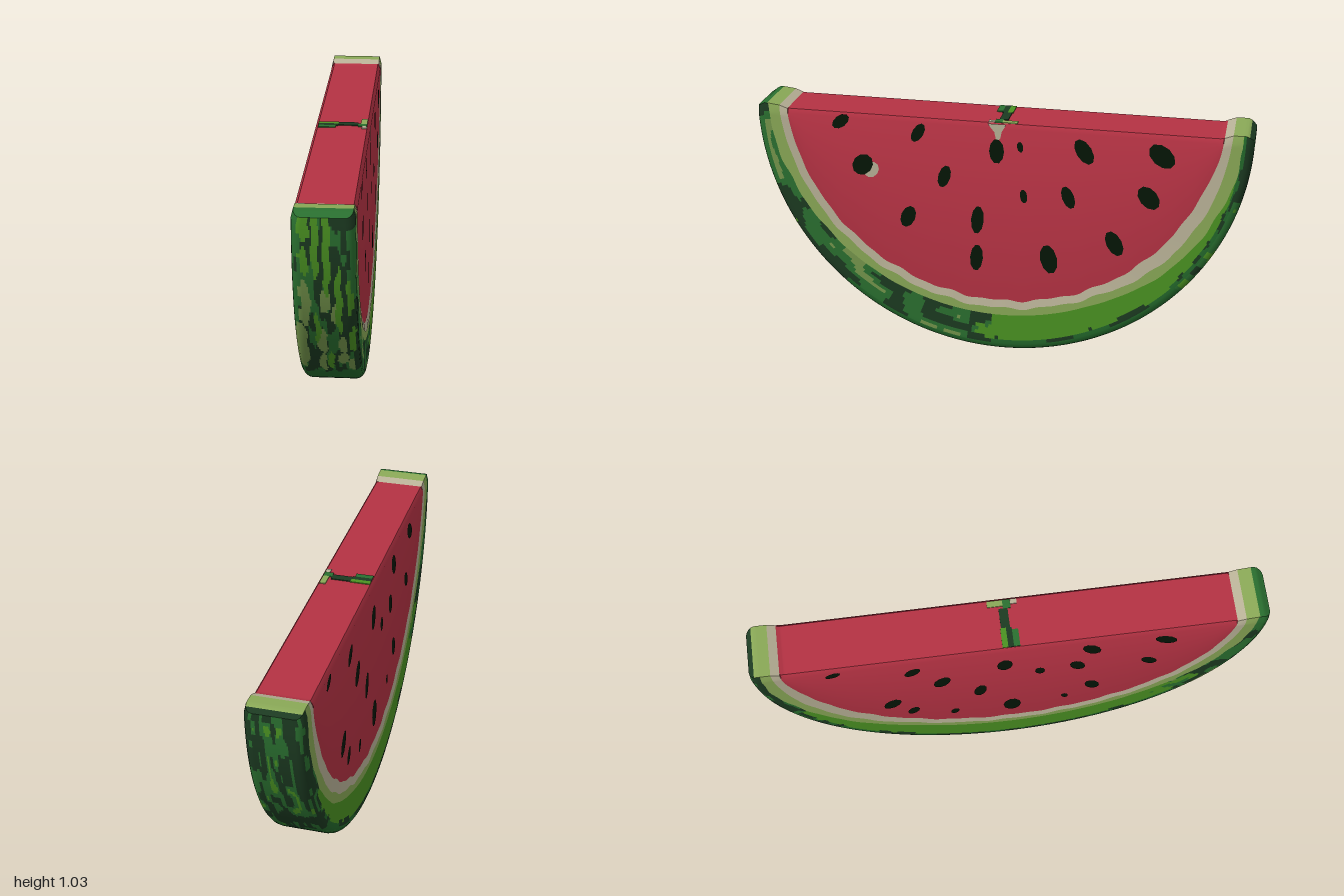
import * as THREE from 'three';
import { toCreasedNormals } from 'three/addons/utils/BufferGeometryUtils.js';

const material = (name, color) => {
  const m = new THREE.MeshStandardMaterial({ color });
  m.name = name;
  return m;
};
const red = material('flesh red', 0xb43243);
const cream = material('cream', 0xb9b297);
const pale = material('pale green', 0x8aa957);
const bright = material('bright green', 0x4b9322);
const mid = material('mid green', 0x2a7030);
const dark = material('dark green', 0x1c3a21);
const deep = material('deep green', 0x23682b);
const olive = material('olive', 0x75964c);
const black = material('seed black green', 0x041606);

const TOP = 1.01, STEPS = 200, FACE = 0.111;
const smooth = THREE.MathUtils.smoothstep;

// Seeded smooth noise for the mottled skin
const hash = (i, j) => {
  const s = Math.sin(i * 127.1 + j * 311.7 + 5.3) * 43758.5453;
  return s - Math.floor(s);
};
function noise(u, v) {
  const i = Math.floor(u), j = Math.floor(v);
  const a = smooth(u - i, 0, 1), b = smooth(v - j, 0, 1);
  const l = THREE.MathUtils.lerp;
  return l(l(hash(i, j), hash(i + 1, j), a), l(hash(i, j + 1), hash(i + 1, j + 1), a), b);
}

// Radii where flesh, cream and pale bands end, by angle from the front tip
function bands(t) {
  const s = Math.sin(t), back = smooth(t, 2, 2.5) * (1 - smooth(t, 2.8, 3.1));
  const wob = 0.004 * Math.sin(t * 23) + 0.003 * Math.sin(t * 41 + 1);
  const flesh = 0.87 - 0.1 * s + wob * s + 0.015 * smooth(t, 2.8, 3.1);
  const white = flesh + 0.033 + 0.02 * back;
  return [flesh, white, Math.min(white + 0.05 - 0.018 * s - wob, 0.957)];
}

// Half cross-section from the cut edge to the middle of the skin
function section(t) {
  const [a, b, c] = bands(t), h = 0.112 + 0.005 * Math.sin(t), r = 0.032;
  const at = (rad, x, part) => ({ r: rad, x, part, z: rad * Math.cos(t), drop: TOP * rad * Math.sin(t) });
  const rim = at(a, FACE, 'whiteRind');
  // Rounded top edge of the flesh, then the bands
  const half = [
    { ...rim, part: 'flesh', x: FACE - 0.012, drop: 0 },
    { ...rim, part: 'flesh', drop: Math.min(0.018, rim.drop) },
    rim, at(b, h, 'paleRind')];
  for (let k = 0; k < 8; k++) half.push(at(c + (1 - r - c) * k / 8, h, 'skin'));
  for (let k = 0; k <= 4; k++) {
    const q = k / 4 * Math.PI / 2;
    half.push(at(1 - r + r * Math.sin(q), h - r + r * Math.cos(q), 'skin'));
  }
  for (let k = 1; k <= 16; k++) half.push(at(1, (h - r) * (1 - k / 16), 'skin'));
  return half;
}

// Streaks on the front skin: [x, top, bottom, half width, colour]
const streaks = [
  [-0.03, 1.01, 0.76, 0.012, bright], [0.01, 1.01, 0.69, 0.013, bright], [-0.07, 1.01, 0.92, 0.02, bright],
  [-0.07, 0.9, 0.78, 0.014, bright], [0.05, 0.82, 0.5, 0.012, bright], [0.09, 0.78, 0.6, 0.009, bright],
  [-0.03, 0.62, 0.45, 0.009, bright], [0.095, 0.55, 0.4, 0.011, bright], [0.01, 0.4, 0.27, 0.012, bright],
  [0.06, 0.49, 0.39, 0.014, olive], [-0.07, 0.77, 0.54, 0.018, olive], [0, 0.72, 0.61, 0.018, olive],
  [-0.015, 0.53, 0.39, 0.018, olive], [-0.095, 0.56, 0.28, 0.026, olive], [0.055, 0.39, 0.32, 0.02, olive],
  [-0.02, 0.39, 0.25, 0.013, olive], [0.035, 0.66, 0.56, 0.01, olive], [0.085, 0.36, 0.26, 0.01, olive]];

function skinColor(t, x, r) {
  const n = noise(t * 13, x * 70 + 20 + r * 26), f = noise(t * 21 + 40, x * 55 + r * 40);
  // Rind seen on the flat faces
  if (r < 0.97) {
    const edge = 0.95 + 0.02 * (f - 0.5);
    const greenSide = x > 0 ? t > 1.42 + 0.2 * f : t > 0.5 + 0.4 * f && t < 2.7;
    if (greenSide) return r < edge ? bright : f > 0.5 ? deep : dark;
    return n > 0.82 ? olive : n > 0.34 + 0.1 * t ? mid : dark;
  }
  // Front skin
  if (t < 0.8 + 0.1 * f) {
    const y = TOP * (1 - Math.sin(t));
    for (const [sx, y1, y0, w, mat] of streaks) {
      const u = (y - y0) / (y1 - y0);
      if (u < 0 || u > 1) continue;
      const taper = y1 > 1 ? Math.min(1, u * 4 + 0.2) : Math.min(1, u * 4 + 0.2, (1 - u) * 4 + 0.2);
      if (Math.abs(x - sx + 0.004 * Math.sin(y * 45)) < w * taper) return mat;
    }
    return n > 0.68 || (x < -0.095 && f > 0.4) ? mid : dark;
  }
  // Back skin and plain underside
  if (t > 2.2 + 0.3 * f) return n > 0.88 ? bright : n > 0.57 ? mid : dark;
  const patch = 0.055 * Math.sin((t - 1.12) / 0.75 * Math.PI);
  return t > 1.12 && t < 1.87 && Math.abs(x + 0.02) < patch ? bright : deep;
}

function buildBody(group) {
  const angles = [0, 0.03];
  for (let i = 1; i < STEPS; i++) angles.push(0.03 + (Math.PI - 0.06) * i / STEPS);
  angles.push(Math.PI - 0.03, Math.PI);

  // Closed ring of points for every angle, mirrored to the second face
  const rings = angles.map((t, i) => {
    const half = section(t), bevel = i === 0 || i === angles.length - 1 ? 0.93 : 1;
    const all = half.concat(half.slice(0, -1).reverse().map(s => ({ ...s, x: -s.x })));
    return all.map(({ r, x, z, drop }) => {
      const rise = 0.018 * smooth(Math.abs(z), 0.865, 0.925) - 0.02 * smooth(Math.abs(z), 0.965, 1.005);
      const lip = rise * Math.max(0, 1 - drop / 0.15);
      return { p: [x * bevel, TOP - drop + lip, z], x, r };
    });
  });
  const parts = section(0).map(s => s.part), n = rings[0].length - 1;
  const fixed = { flesh: red, whiteRind: cream, paleRind: pale };
  const store = { flesh: new Map(), whiteRind: new Map(), paleRind: new Map(), skin: new Map() };
  const quad = (part, mat, a, b, c, d) => {
    if (!store[part].has(mat)) store[part].set(mat, []);
    store[part].get(mat).push(...a.p, ...b.p, ...c.p, ...a.p, ...c.p, ...d.p);
  };

  // Faces and skin, closed by the cut top of the flesh
  for (let i = 0; i < rings.length - 1; i++) {
    for (let j = 0; j < n; j++) {
      const part = parts[Math.min(j, n - 1 - j)];
      const a = rings[i][j], b = rings[i][j + 1];
      const mat = fixed[part] || skinColor((angles[i] + angles[i + 1]) / 2, (a.x + b.x) / 2, (a.r + b.r) / 2);
      quad(part, mat, a, b, rings[i + 1][j + 1], rings[i + 1][j]);
    }
    quad('flesh', red, rings[i][n], rings[i][0], rings[i + 1][0], rings[i + 1][n]);
  }
  // Rind tops at the front and back tips
  const first = rings[0], last = rings[rings.length - 1];
  for (let j = 2; j < n / 2; j++) {
    const part = parts[j];
    quad(part, fixed[part] || (j < 6 ? pale : mid), first[j], first[n - j], first[n - j - 1], first[j + 1]);
    quad(part, fixed[part] || (j < 13 ? pale : dark), last[j], last[j + 1], last[n - j - 1], last[n - j]);
  }

  for (const [name, byMat] of Object.entries(store)) {
    const pos = [], mats = [], geo = new THREE.BufferGeometry();
    for (const [mat, list] of byMat) {
      geo.addGroup(pos.length / 3, list.length / 3, mats.length);
      mats.push(mat);
      for (const v of list) pos.push(v);
    }
    geo.setAttribute('position', new THREE.Float32BufferAttribute(pos, 3));
    const mesh = new THREE.Mesh(toCreasedNormals(geo, 0.7), mats.length === 1 ? mats[0] : mats);
    mesh.name = name;
    group.add(mesh);
  }
}

// Thin spot lying on a face; side is +1 or -1
function spot(group, name, mat, side, [z, y, length = 0.11, width = 0.56], lift) {
  const geo = new THREE.CircleGeometry(0.5, 10);
  geo.scale(length * width, length, 1);
  const mesh = new THREE.Mesh(geo, mat);
  mesh.name = name;
  mesh.position.set(side * (FACE + lift), y, z);
  mesh.rotation.set(0, side * Math.PI / 2, -side * Math.atan2(z, 1.5 - y));
  group.add(mesh);
}

export function createModel() {
  const group = new THREE.Group();
  group.name = 'watermelonSlice';
  buildBody(group);

  // Seeds: [z, y, length, width ratio]
  const rightSeeds = [
    [0.645, 0.975, 0.085], [0.325, 0.95, 0.09, 0.5], [0.005, 0.895, 0.105, 0.58], [-0.09, 0.92, 0.045],
    [-0.345, 0.92, 0.115], [-0.65, 0.925, 0.12, 0.68], [0.56, 0.795, 0.1, 0.8], [0.22, 0.77, 0.1, 0.5],
    [-0.105, 0.71, 0.06, 0.5], [-0.285, 0.72, 0.1, 0.5], [-0.605, 0.745, 0.11, 0.68], [0.375, 0.58, 0.1, 0.6],
    [0.085, 0.59, 0.125, 0.42], [-0.475, 0.535, 0.115, 0.56], [0.09, 0.42, 0.12, 0.45], [-0.21, 0.44, 0.13, 0.54]];
  const leftSeeds = [
    [-0.03, 0.86], [0.26, 0.76, 0.1], [0.6, 0.93], [0.55, 0.72, 0.09], [0.33, 0.51, 0.1], [0.31, 0.92],
    [-0.13, 0.6, 0.12, 0.42], [0, 0.38, 0.13], [-0.28, 0.75], [-0.49, 0.56], [-0.41, 0.45, 0.08],
    [-0.24, 0.38, 0.06], [-0.39, 0.9, 0.09], [-0.69, 0.97, 0.07], [0.11, 0.75, 0.07], [0.22, 0.41, 0.05]];
  rightSeeds.forEach(s => spot(group, 'seed', black, 1, s, 0.0025));
  leftSeeds.forEach(s => spot(group, 'seed', black, -1, s, 0.0025));
  spot(group, 'paleFleck', cream, 1, [0.525, 0.775, 0.075, 0.8], 0.0015);

  // Green scar across the cut top with a cream notch running down one face
  const strip = (mat, w, d, x, z) => {
    const mesh = new THREE.Mesh(new THREE.BoxGeometry(w, 0.005, d), mat);
    mesh.name = 'topScar';
    mesh.position.set(x, TOP + 0.001, z);
    group.add(mesh);
  };
  strip(bright, 0.08, 0.022, -0.058, -0.025);
  strip(dark, 0.08, 0.022, -0.058, -0.003);
  strip(mid, 0.07, 0.024, -0.062, 0.02);
  strip(dark, 0.08, 0.035, 0.022, -0.015);
  strip(pale, 0.025, 0.06, 0.085, -0.045);
  strip(mid, 0.036, 0.03, 0.08, 0.0);
  strip(cream, 0.02, 0.025, 0.088, 0.028);
  const notch = new THREE.Mesh(new THREE.ShapeGeometry(new THREE.Shape([
    new THREE.Vector2(-0.042, 0), new THREE.Vector2(-0.014, -0.035), new THREE.Vector2(-0.006, -0.075),
    new THREE.Vector2(0.01, -0.06), new THREE.Vector2(0.016, -0.03), new THREE.Vector2(0.035, 0)])), cream);
  notch.name = 'creamNotch';
  notch.position.set(FACE + 0.0015, TOP, 0);
  notch.rotation.y = Math.PI / 2;
  group.add(notch);
  return group;
}
